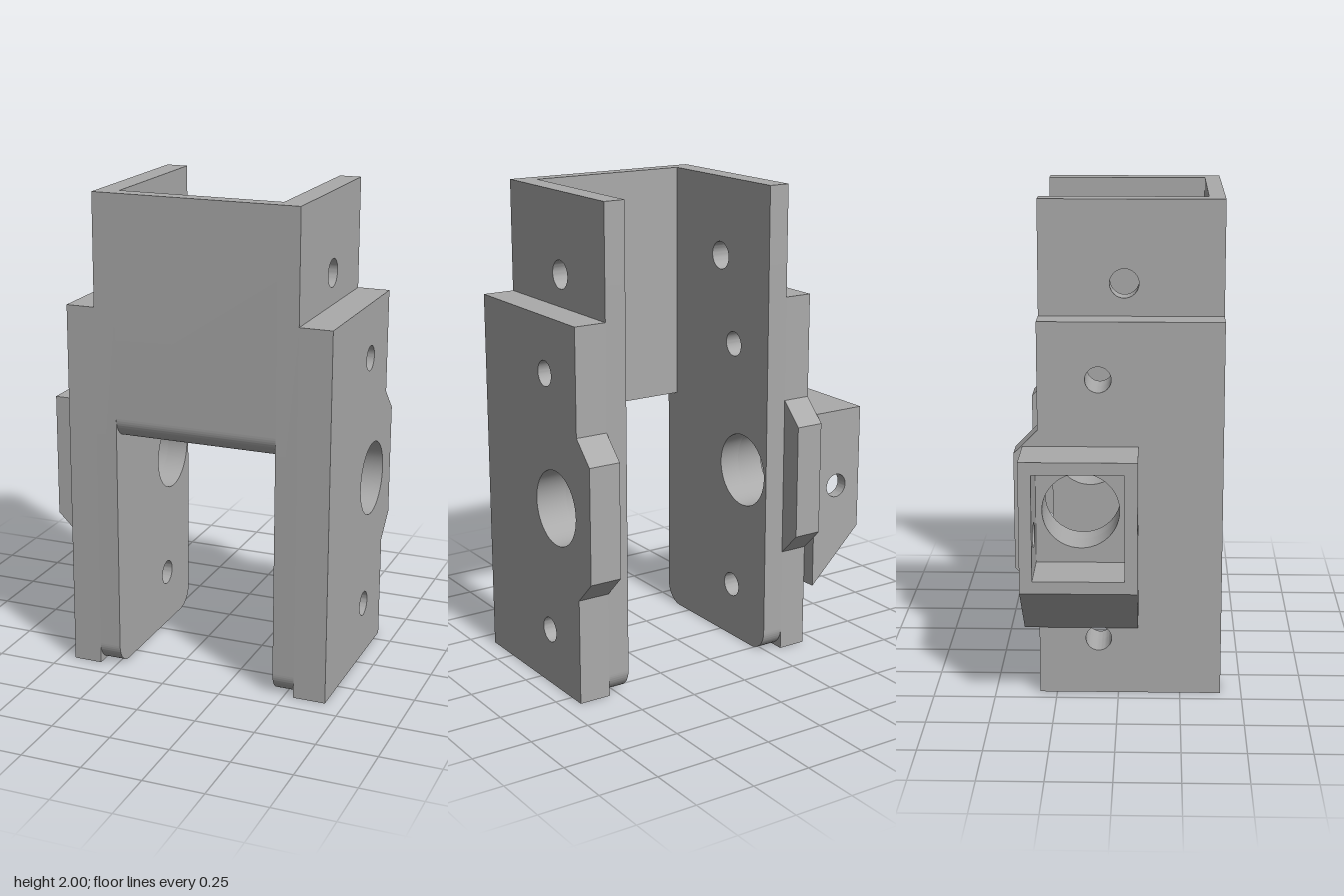
import * as THREE from 'three';
import { toCreasedNormals } from 'three/addons/utils/BufferGeometryUtils.js';

const FRONT = 0.415, BACK = -0.32, R = 0.09;

function circle(x, y, r) {
  const p = new THREE.Path();
  p.absarc(x, y, r, 0, Math.PI * 2, true);
  return p;
}

function extrude(shape, depth) {
  const g = new THREE.ExtrudeGeometry(shape, { depth, bevelEnabled: false, curveSegments: 24 });
  return toCreasedNormals(g, 0.6);
}

// Side profiles are drawn with u = -z and swept along x
function sweepX(shape, x0, x1) {
  return extrude(shape, x1 - x0).rotateY(Math.PI / 2).translate(x0, 0, 0);
}

// Front profiles are swept along z
function sweepZ(shape, z0, z1) {
  return extrude(shape, z1 - z0).translate(0, 0, z0);
}

function polygon(points) {
  return new THREE.Shape(points.map(([x, y]) => new THREE.Vector2(x, y)));
}

export function createModel() {
  const model = new THREE.Group();
  model.name = 'bracket';
  const grey = new THREE.MeshStandardMaterial({ color: 0xaaaaaa });
  grey.name = 'grey plastic';

  const add = (name, geometry, parent = model) => {
    const mesh = new THREE.Mesh(geometry, grey);
    mesh.name = name;
    parent.add(mesh);
  };

  // Screw holes and the large bore shared by panels and pads
  const sharedHoles = () => [
    circle(0.08, 1.31, 0.052),
    circle(0.08, 0.235, 0.052),
    circle(0.15, 0.775, 0.155),
  ];

  // Tall inner side panel with rounded lower corners
  const panel = new THREE.Shape();
  panel.moveTo(-FRONT, 2);
  panel.lineTo(-FRONT, R);
  panel.absarc(-FRONT + R, R, R, Math.PI, Math.PI * 1.5, false);
  panel.lineTo(-BACK - R, 0);
  panel.absarc(-BACK - R, R, R, -Math.PI / 2, 0, false);
  panel.lineTo(-BACK, 2);
  panel.holes = [...sharedHoles(), circle(-0.02, 1.67, 0.058)];

  // Thick outer pad with a chamfered tab at the back
  const pad = polygon([
    [-FRONT, 0], [-BACK, 0], [-BACK, 0.44], [0.415, 0.535],
    [0.415, 1.01], [-BACK, 1.105], [-BACK, 1.54], [-FRONT, 1.54],
  ]);
  pad.holes = sharedHoles();

  add('rightPanel', sweepX(panel, -0.32, -0.23));
  add('leftPanel', sweepX(panel, 0.45, 0.54));
  add('rightPad', sweepX(pad, -0.44, -0.32));
  add('leftPad', sweepX(pad, 0.54, 0.675));

  // Front wall with a rounded lower edge
  const wall = new THREE.Shape();
  wall.moveTo(-FRONT, 2);
  wall.lineTo(-FRONT, 1 + R);
  wall.absarc(-FRONT + R, 1 + R, R, Math.PI, Math.PI + Math.acos((R - 0.065) / R), false);
  wall.lineTo(-0.35, 2);
  add('frontWall', sweepX(wall, -0.23, 0.45));

  // Hollow side housing, open outward, with a sloped underside
  const housing = new THREE.Group();
  housing.name = 'sideHousing';
  model.add(housing);
  const X0 = -0.675, X1 = -0.44;
  const cheek = polygon([[X0, 0.51], [X1, 0.28], [X1, 1.04], [X0, 1.04]]);
  cheek.holes = [circle(-0.555, 0.71, 0.05)];
  add('housingBackCheek', sweepZ(cheek, -0.38, -0.33), housing);
  add('housingFrontCheek', sweepZ(cheek, 0.03, 0.08), housing);
  const roof = polygon([[X0, 0.99], [X1, 0.99], [X1, 1.04], [X0, 1.04]]);
  add('housingRoof', sweepZ(roof, -0.33, 0.03), housing);
  const floor = polygon([[X0, 0.51], [X1, 0.28], [X1, 0.56], [X0, 0.56]]);
  add('housingFloor', sweepZ(floor, -0.33, 0.03), housing);

  return model;
}
